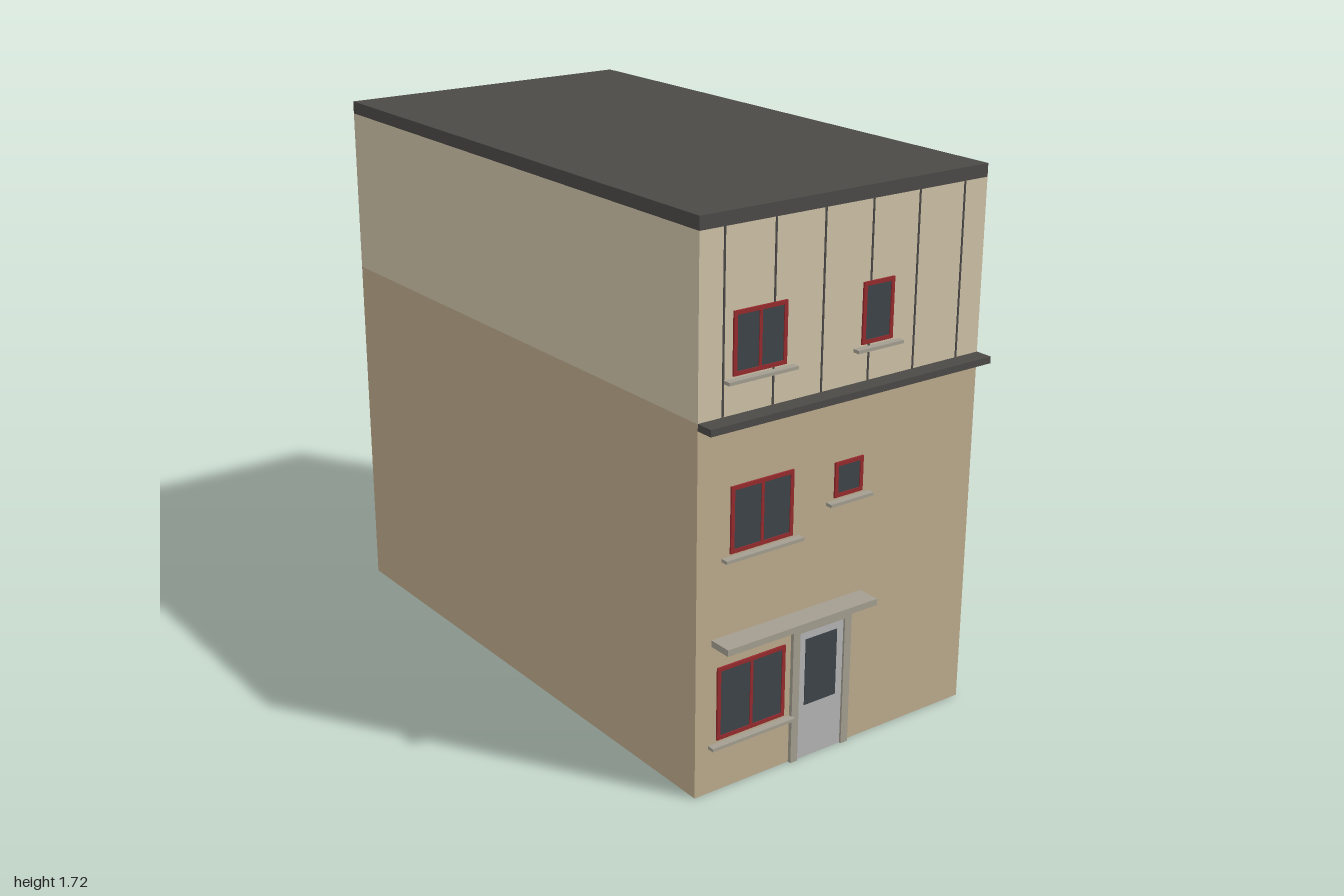
import * as THREE from 'three';

const mat = (color) => new THREE.MeshStandardMaterial({ color });

export function createModel() {
  const M = {
    wall: mat(0xbdab8c), upper: mat(0xcfc3a8), dark: mat(0x4c4a47), stone: mat(0xa39e90),
    red: mat(0x962a2e), glass: mat(0x3e444a), door: mat(0xb4b4b4),
  };
  const house = new THREE.Group();
  house.name = 'townHouse';
  const W = 0.52, FRONT = 0.925, BACK = -0.975;

  // Box given by its limits on each axis
  function box(parent, name, m, x0, x1, y0, y1, z0, z1) {
    const mesh = new THREE.Mesh(new THREE.BoxGeometry(x1 - x0, y1 - y0, z1 - z0), m);
    mesh.position.set((x0 + x1) / 2, (y0 + y1) / 2, (z0 + z1) / 2);
    mesh.name = name;
    parent.add(mesh);
    return mesh;
  }

  // Rectangular surround with an opening, standing proud of the wall
  function surround(parent, name, m, x0, x1, y0, y1, side, bottom, top, depth) {
    const rect = (T, a, b, c, d) => new T().moveTo(a, c).lineTo(b, c).lineTo(b, d).lineTo(a, d).closePath();
    const shape = rect(THREE.Shape, x0, x1, y0, y1);
    shape.holes.push(rect(THREE.Path, x0 + side, x1 - side, y0 + bottom, y1 - top));
    const mesh = new THREE.Mesh(new THREE.ExtrudeGeometry(shape, { depth, bevelEnabled: false }), m);
    mesh.name = name;
    parent.add(mesh);
  }

  // Framed window with optional centre bar and a projecting sill
  function addWindow(facade, x0, x1, y0, y1, bar, sillTop) {
    const g = new THREE.Group();
    g.name = 'window';
    const t = 0.012;
    box(g, 'glass', M.glass, x0 + t / 2, x1 - t / 2, y0 + t / 2, y1 - t / 2, 0, 0.003);
    surround(g, 'windowFrame', M.red, x0, x1, y0, y1, t, t, t, 0.006);
    const c = (x0 + x1) / 2;
    if (bar) box(g, 'centreBar', M.red, c - 0.005, c + 0.005, y0 + t, y1 - t, 0, 0.0055);
    box(g, 'sill', M.stone, x0 - 0.028, x1 + 0.028, sillTop - 0.01, sillTop, 0, 0.023);
    facade.add(g);
  }

  // Door with stone surround and glazed panel
  function addDoor(facade, x0, x1, top) {
    const g = new THREE.Group();
    g.name = 'door';
    const c = (x0 + x1) / 2;
    box(g, 'doorLeaf', M.door, x0 + 0.01, x1 - 0.01, 0, top - 0.01, 0, 0.005);
    box(g, 'doorGlass', M.glass, c - 0.06, c + 0.06, 0.175, top - 0.05, 0, 0.007);
    for (const s of [-1, 1]) {
      const e = s < 0 ? x0 : x1 - 0.026;
      box(g, 'doorJamb', M.stone, e, e + 0.026, 0, top, 0, 0.012);
    }
    box(g, 'doorLintel', M.stone, x0 + 0.026, x1 - 0.026, top - 0.022, top, 0, 0.012);
    facade.add(g);
  }

  // Main storeys and flat roof
  box(house, 'lowerWalls', M.wall, -W, W, 0, 1.145, BACK, FRONT);
  box(house, 'upperWalls', M.upper, -W, W, 1.145, 1.675, BACK, FRONT);
  box(house, 'roof', M.dark, -W, W, 1.675, 1.715, BACK, FRONT);

  // Front: ledge, panel seams, canopy, openings
  const front = new THREE.Group();
  front.name = 'frontFacade';
  front.position.z = FRONT;
  house.add(front);
  box(front, 'ledge', M.dark, -W, W, 1.125, 1.146, 0, 0.057);
  for (let i = 0; i < 6; i++) {
    const x = -0.437 + i * 0.1735;
    box(front, 'panelSeam', M.dark, x - 0.003, x + 0.003, 1.146, 1.675, 0, 0.002);
  }
  box(front, 'canopy', M.stone, -0.465, 0.09, 0.468, 0.488, 0, 0.075);
  addWindow(front, -0.405, -0.22, 1.257, 1.44, true, 1.25);
  addWindow(front, 0.055, 0.17, 1.257, 1.44, false, 1.25);
  addWindow(front, -0.405, -0.182, 0.737, 0.938, true, 0.729);
  addWindow(front, -0.028, 0.078, 0.812, 0.92, false, 0.804);
  addWindow(front, -0.445, -0.197, 0.165, 0.395, true, 0.155);
  addDoor(front, -0.173, 0.05, 0.44);

  // Back facade, turned half round so its local x runs the other way
  const back = new THREE.Group();
  back.name = 'backFacade';
  back.position.z = BACK;
  back.rotation.y = Math.PI;
  house.add(back);
  for (const [y0, y1] of [[1.308, 1.522], [0.738, 0.952]]) {
    addWindow(back, -0.39, -0.178, y0, y1, true, y0 - 0.008);
    addWindow(back, 0.188, 0.4, y0, y1, true, y0 - 0.008);
  }
  addWindow(back, -0.096, 0.25, 0.153, 0.42, true, 0.145);
  addDoor(back, -0.437, -0.213, 0.428);

  return house;
}
